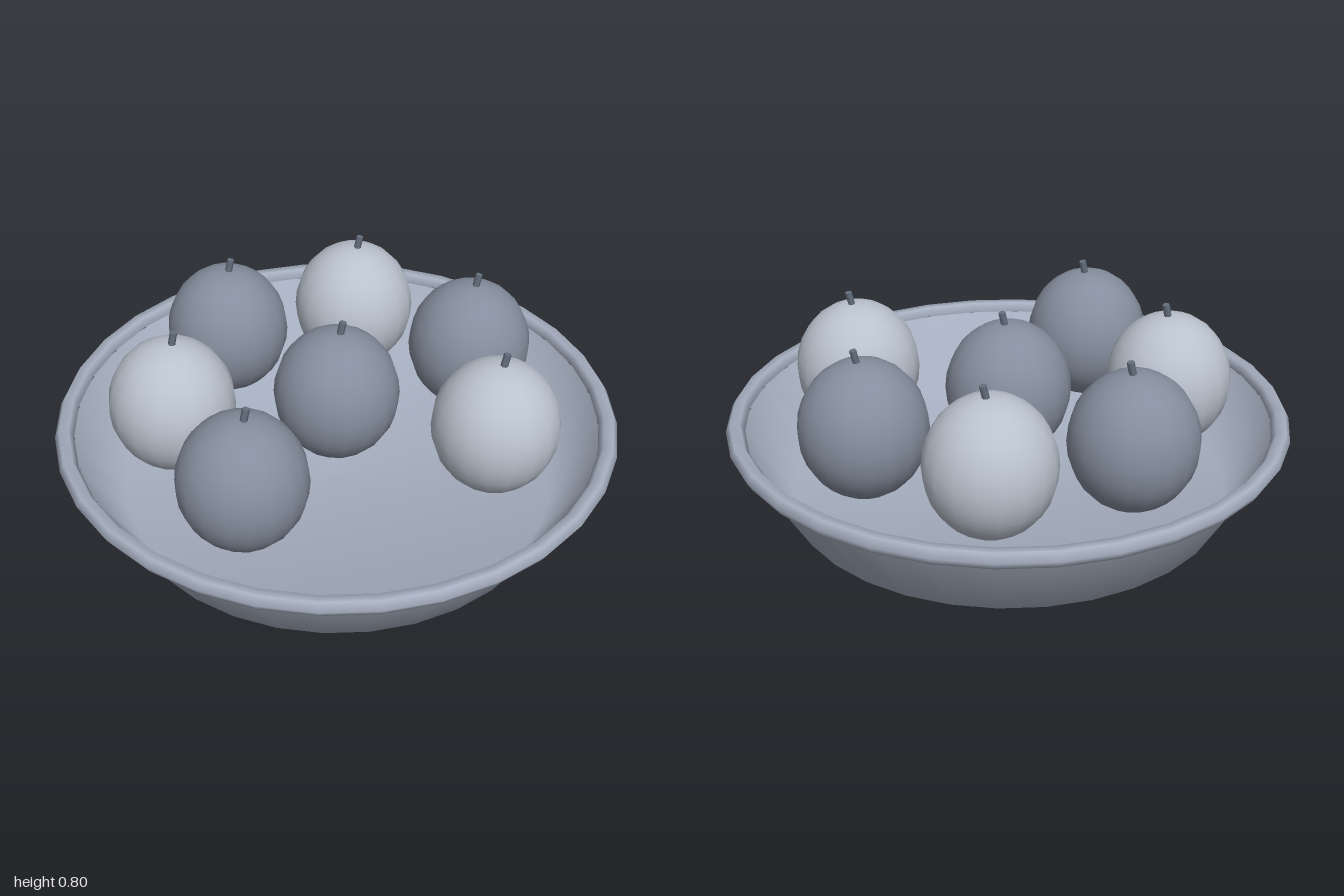
import * as THREE from 'three';

const colored = (color) => new THREE.MeshStandardMaterial({ color });
const bowlMat = colored(0xa6afc0);
const lightMat = colored(0xbac2ce);
const darkMat = colored(0x858e9e);
const stemMat = colored(0x667080);

function addMesh(parent, name, geometry, material) {
  const mesh = new THREE.Mesh(geometry, material);
  mesh.name = name;
  parent.add(mesh);
  return mesh;
}

// Slightly tall round fruit with a leaning stem
function makeFruit(x, z, material) {
  const fruit = new THREE.Group();
  fruit.name = 'fruit';
  fruit.position.set(x, 0.505, z);

  const body = addMesh(fruit, 'fruitBody', new THREE.SphereGeometry(0.224, 18, 14), material);
  body.scale.y = 1.1;

  const stem = addMesh(fruit, 'stem', new THREE.CylinderGeometry(0.013, 0.013, 0.08, 6), stemMat);
  stem.position.set(0.015, 0.25, 0);
  stem.rotation.z = -0.22;
  return fruit;
}

export function createModel() {
  const model = new THREE.Group();
  model.name = 'fruitBowl';

  // Bowl: outer wall from the base up, then down the inside to a shallow floor
  const profile = [
    [0, 0], [0.61, 0], [0.79, 0.1], [0.965, 0.4],
    [0.93, 0.4], [0.78, 0.15], [0, 0.12],
  ].map(([r, y]) => new THREE.Vector2(r, y));
  addMesh(model, 'bowl', new THREE.LatheGeometry(profile, 32), bowlMat);

  // Rolled rim
  const rim = addMesh(model, 'rim', new THREE.TorusGeometry(0.967, 0.033, 6, 32), bowlMat);
  rim.rotation.x = Math.PI / 2;
  rim.position.y = 0.404;

  // One fruit in the middle, six around it on a seven-place ring with the front place empty
  model.add(makeFruit(0, 0, darkMat));
  for (let k = 1; k <= 6; k++) {
    const a = (k * Math.PI * 2) / 7;
    model.add(makeFruit(0.58 * Math.sin(a), 0.58 * Math.cos(a), k % 2 ? lightMat : darkMat));
  }
  return model;
}
